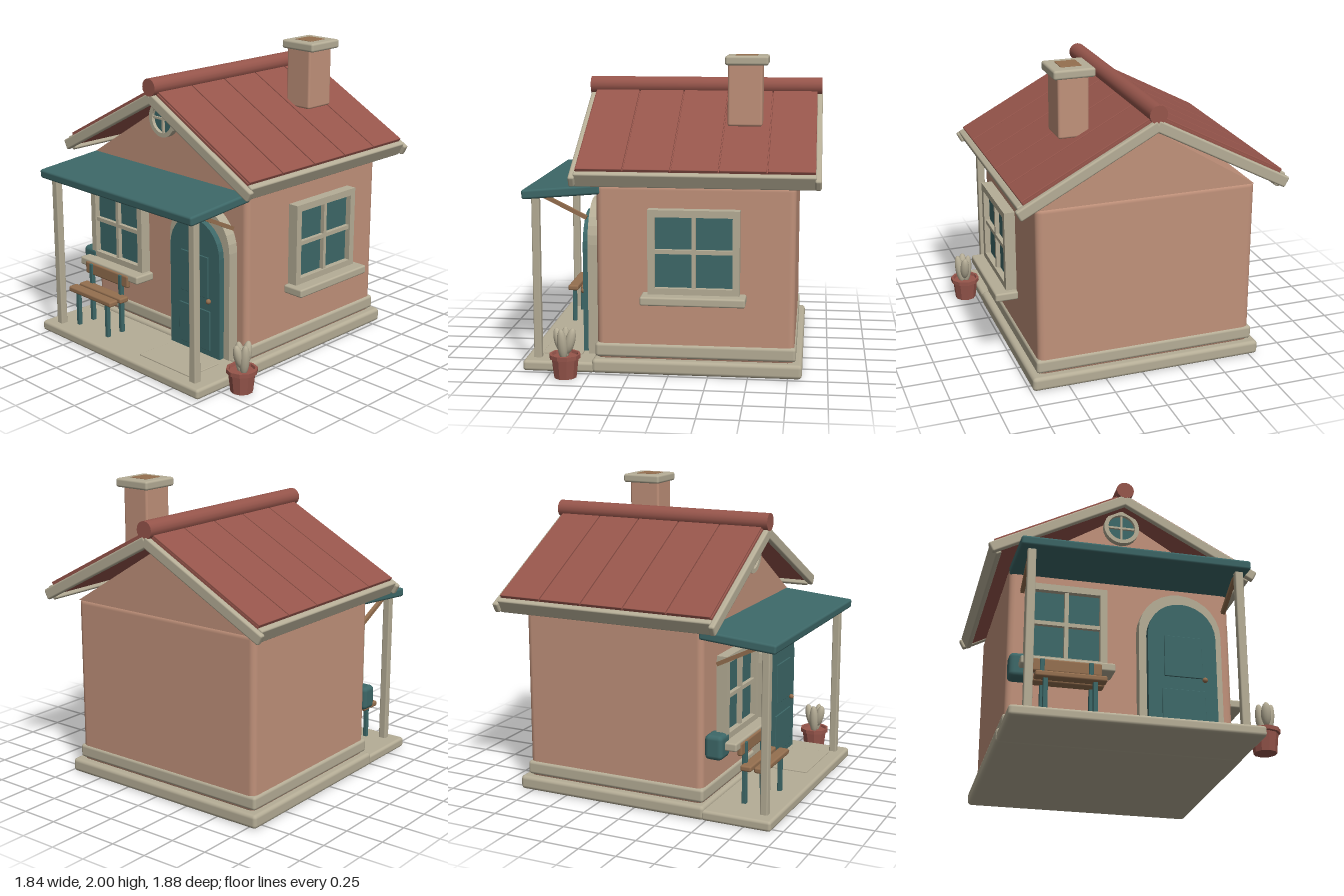
import * as THREE from 'three';
import { RoundedBoxGeometry } from 'three/addons/geometries/RoundedBoxGeometry.js';

const material = (name, color) => {
  const m = new THREE.MeshStandardMaterial({ color });
  m.name = name;
  return m;
};

export function createModel() {
  const wall = material('clay wall', 0xc0917a);
  const cream = material('cream trim', 0xb5ad96);
  const teal = material('teal paint', 0x3d6868);
  const red = material('red roof', 0x96554b);
  const brown = material('brown wood', 0x946f4f);

  const model = new THREE.Group();
  const cx = -0.037; // centre line of the house

  const add = (parent, name, geo, mat, x = 0, y = 0, z = 0) => {
    const m = new THREE.Mesh(geo, mat);
    m.name = name;
    m.position.set(x, y, z);
    parent.add(m);
    return m;
  };
  const group = (name, parent = model) => {
    const g = new THREE.Group();
    g.name = name;
    parent.add(g);
    return g;
  };
  // Rounded box given by its min and max on each axis
  const block = (parent, name, mat, [x0, x1], [y0, y1], [z0, z1], r = 0.01) =>
    add(parent, name, new RoundedBoxGeometry(x1 - x0, y1 - y0, z1 - z0, 2, r), mat,
      (x0 + x1) / 2, (y0 + y1) / 2, (z0 + z1) / 2);

  // Base and walls
  block(model, 'houseSlab', cream, [-0.81, 0.737], [0, 0.092], [-0.84, 0.49], 0.025);
  block(model, 'porchSlab', cream, [-0.805, 0.732], [0, 0.068], [0.47, 0.935], 0.02);
  block(model, 'doorMat', cream, [0.1, 0.56], [0.06, 0.076], [0.58, 0.84], 0.004);
  block(model, 'skirting', cream, [-0.775, 0.7], [0.1, 0.19], [-0.8, 0.472], 0.02);
  block(model, 'walls', wall, [-0.76, 0.686], [0.07, 1.215], [-0.79, 0.46], 0.04);

  const tri = new THREE.Shape([[-0.715, 1.2], [0.715, 1.2], [0, 1.645]]
    .map(([x, y]) => new THREE.Vector2(x, y)));
  add(model, 'gable', new THREE.ExtrudeGeometry(tri, { depth: 1.25, bevelEnabled: false }), wall, cx, 0, -0.79);

  // Roof: each slope is built flat, then tilted about the ridge
  const roof = group('roof');
  for (const s of [-1, 1]) {
    const slope = group(s < 0 ? 'rightSlope' : 'leftSlope', roof);
    slope.position.set(cx, 1.7, 0);
    slope.rotation.z = -s * 0.488;
    const span = (a, b) => (s > 0 ? [a, b] : [-b, -a]);
    block(slope, 'roofDeck', red, span(0, 0.92), [-0.025, 0.05], [-0.905, 0.57], 0.004);
    for (let i = 0; i < 5; i++) {
      const z = -0.908 + i * 0.295;
      block(slope, 'roofPanel', red, span(0, 0.924), [0.03, 0.062], [z + 0.004, z + 0.291], 0.004);
    }
    block(slope, 'eaveBoard', cream, span(0.924, 0.964), [-0.05, 0.047], [-0.91, 0.575], 0.01);
    for (const z of [-0.94, 0.565])
      block(slope, 'bargeBoard', cream, span(-0.01, 0.985), [-0.036, 0.036], [z, z + 0.04], 0.012);
  }
  add(roof, 'ridge', new THREE.CylinderGeometry(0.058, 0.058, 1.54, 16), red, cx, 1.772, -0.165)
    .rotation.x = Math.PI / 2;

  // Chimney
  const chimney = group('chimney');
  block(chimney, 'stack', wall, [0.27, 0.468], [1.555, 1.96], [-0.564, -0.346], 0.015);
  block(chimney, 'cap', cream, [0.237, 0.503], [1.938, 1.996], [-0.6, -0.33], 0.015);
  block(chimney, 'flue', brown, [0.303, 0.437], [1.97, 2], [-0.528, -0.39], 0.003);

  // Cross-barred window with sill, facing +z with its back at z = 0
  const window = (name, w, h, sillW) => {
    const g = group(name);
    const t = 0.044, x = w / 2, y = h / 2;
    for (const s of [-1, 1]) {
      add(g, 'frameSide', new THREE.BoxGeometry(t, h, 0.07), cream, s * (x - t / 2), 0, 0.035);
      add(g, 'frameRail', new THREE.BoxGeometry(w - 2 * t, t, 0.07), cream, 0, s * (y - t / 2), 0.035);
    }
    add(g, 'mullion', new THREE.BoxGeometry(0.026, h - t, 0.04), cream, 0, 0, 0.04);
    add(g, 'crossbar', new THREE.BoxGeometry(w - t, 0.026, 0.04), cream, 0, 0.005, 0.04);
    add(g, 'glass', new THREE.BoxGeometry(w - t, h - t, 0.015), teal, 0, 0, 0.025);
    block(g, 'sill', cream, [-sillW / 2, sillW / 2], [-y - 0.05, -y + 0.005], [0, 0.15], 0.012);
    return g;
  };
  window('frontWindow', 0.515, 0.54, 0.585).position.set(-0.411, 0.76, 0.515);
  const side = window('sideWindow', 0.57, 0.535, 0.65);
  side.position.set(0.725, 0.803, -0.165);
  side.rotation.y = Math.PI / 2;

  // Round gable window
  const round = group('gableWindow');
  round.position.set(cx, 1.55, 0.455);
  const ringShape = new THREE.Shape().absarc(0, 0, 0.118, 0, Math.PI * 2);
  ringShape.holes.push(new THREE.Path().absarc(0, 0, 0.09, 0, Math.PI * 2, true));
  add(round, 'ring', new THREE.ExtrudeGeometry(ringShape, { depth: 0.045, bevelEnabled: false, curveSegments: 12 }), cream);
  add(round, 'glass', new THREE.CylinderGeometry(0.095, 0.095, 0.02, 24), teal, 0, 0, 0.012).rotation.x = Math.PI / 2;
  add(round, 'mullion', new THREE.BoxGeometry(0.014, 0.18, 0.02), cream, 0, 0, 0.026);
  add(round, 'crossbar', new THREE.BoxGeometry(0.18, 0.014, 0.02), cream, 0, 0, 0.026);

  // Arched door
  const door = group('door');
  door.position.set(0.333, 0.09, 0);
  const arch = (Kind, r, spring) => {
    const p = new Kind();
    p.moveTo(-r, 0);
    p.lineTo(r, 0);
    p.lineTo(r, spring);
    p.absarc(0, spring, r, 0, Math.PI);
    p.lineTo(-r, 0);
    return p;
  };
  const surround = arch(THREE.Shape, 0.27, 0.715);
  surround.holes.push(arch(THREE.Path, 0.215, 0.675));
  add(door, 'doorSurround', new THREE.ExtrudeGeometry(surround, {
    depth: 0.075, curveSegments: 7, bevelEnabled: false }), cream, 0, 0, 0.455);
  add(door, 'doorLeaf', new THREE.ExtrudeGeometry(arch(THREE.Shape, 0.222, 0.675), {
    depth: 0.115, curveSegments: 7, bevelEnabled: false }), teal, 0, 0.003, 0.455);
  block(door, 'upperPanel', teal, [-0.118, 0.127], [0.395, 0.67], [0.567, 0.579], 0.003);
  block(door, 'lowerPanel', teal, [-0.135, 0.142], [0.04, 0.31], [0.567, 0.579], 0.003);
  add(door, 'doorKnob', new THREE.SphereGeometry(0.017, 12, 8), brown, 0.14, 0.383, 0.585);

  // Porch awning, posts and braces
  const porch = group('porch');
  const awning = block(porch, 'awning', teal, [-0.762, 0.688], [1.122, 1.182], [0.432, 0.935], 0.015);
  awning.rotation.x = 0.085;
  for (const x of [-0.687, 0.627]) {
    block(porch, 'post', cream, [x - 0.026, x + 0.026], [0.06, 1.125], [0.828, 0.878], 0.008);
    const brace = add(porch, 'brace', new THREE.BoxGeometry(0.025, 0.025, 0.34), brown, x, 1.06, 0.68);
    brace.rotation.x = -0.46;
  }

  // Wall-mounted letter box
  block(model, 'letterBox', teal, [-0.76, -0.617], [0.385, 0.545], [0.47, 0.59], 0.03);

  // Bench
  const bench = group('bench');
  for (const [z0, z1] of [[0.755, 0.827], [0.663, 0.737]])
    block(bench, 'seatSlat', brown, [-0.64, -0.205], [0.3, 0.338], [z0, z1], 0.012);
  block(bench, 'backrest', brown, [-0.64, -0.205], [0.395, 0.48], [0.643, 0.675], 0.012);
  for (const x of [-0.574, -0.274]) {
    block(bench, 'frontLeg', teal, [x - 0.014, x + 0.014], [0.065, 0.31], [0.778, 0.806], 0.004);
    block(bench, 'backLeg', teal, [x - 0.014, x + 0.014], [0.065, 0.475], [0.655, 0.685], 0.004);
  }

  // Potted plant
  const plant = group('pottedPlant');
  plant.position.set(0.822, 0, 0.64);
  const profile = [[0, 0], [0.072, 0], [0.086, 0.122], [0.1, 0.126], [0.1, 0.152], [0.084, 0.152], [0.08, 0.135], [0, 0.135]]
    .map(([x, y]) => new THREE.Vector2(x, y));
  const pot = new THREE.LatheGeometry(profile, 10).toNonIndexed();
  pot.computeVertexNormals();
  add(plant, 'pot', pot, red);
  for (const [x, z, h, tiltX, tiltZ] of [
    [-0.018, 0, 0.105, 0, 0.12], [0.032, 0.01, 0.105, 0.06, -0.14], [0.005, -0.035, 0.085, -0.25, 0], [0.005, 0.035, 0.08, 0.25, 0.05]]) {
    const leaf = add(plant, 'leaf', new THREE.SphereGeometry(1, 12, 10), cream, x, 0.32 - h, z);
    leaf.scale.set(0.032, h, 0.032);
    leaf.rotation.set(tiltX, 0, tiltZ);
  }
  return model;
}
